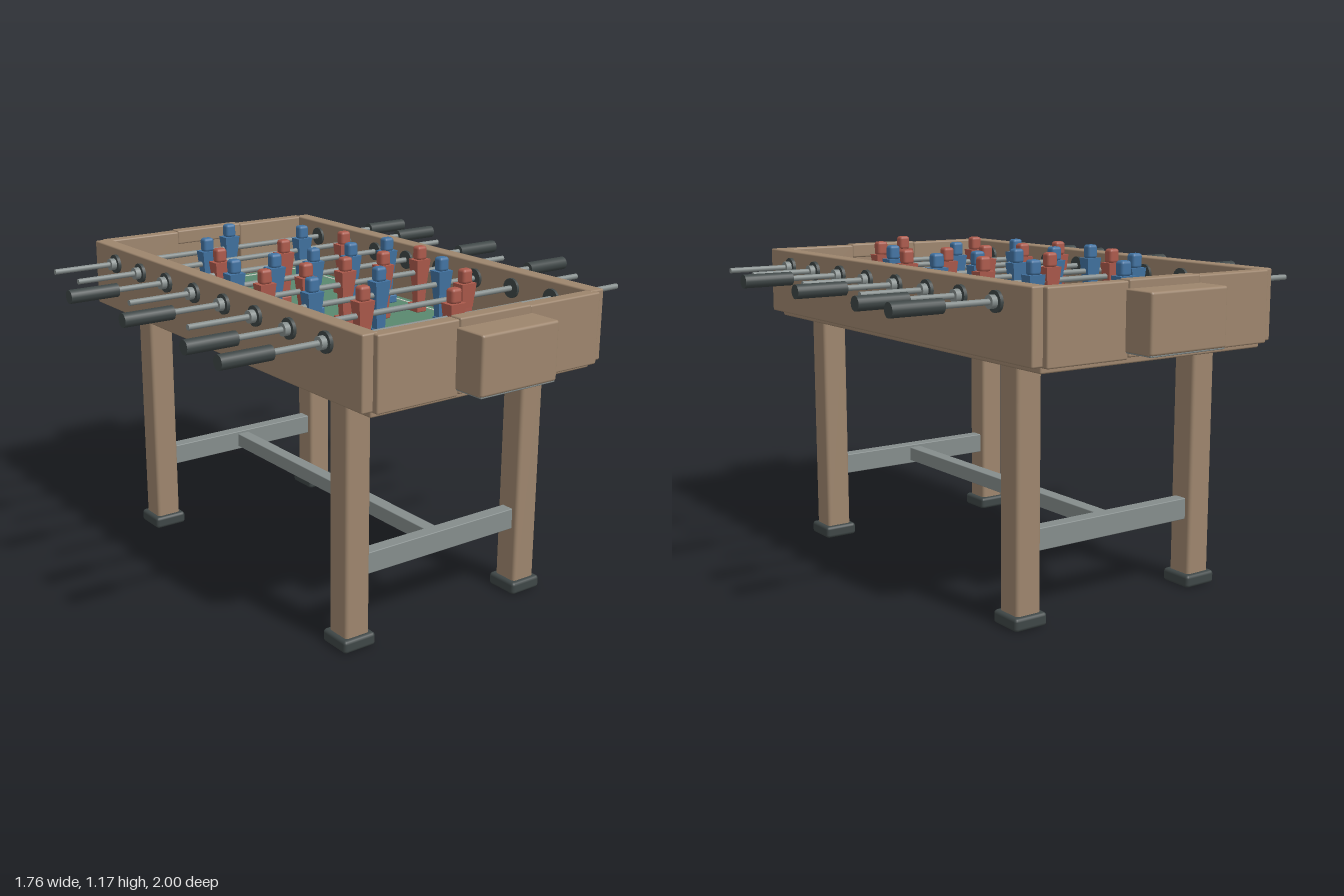
import * as THREE from 'three';
import { RoundedBoxGeometry } from 'three/addons/geometries/RoundedBoxGeometry.js';

const paint = (color) => new THREE.MeshStandardMaterial({ color });
const wood = paint(0x9d856d);
const turf = paint(0x5a886f);
const chalk = paint(0xc9d3c6);
const steel = paint(0x858d8c);
const rubber = paint(0x3e4646);
const blue = paint(0x4273a2);
const red = paint(0xac5a4c);

function add(parent, name, geometry, material, x = 0, y = 0, z = 0) {
  const mesh = new THREE.Mesh(geometry, material);
  mesh.name = name;
  mesh.position.set(x, y, z);
  parent.add(mesh);
  return mesh;
}

// box given by its lower and upper limits, with softened edges
function block(parent, name, material, [x0, x1], [y0, y1], [z0, z1], bevel = 0.006) {
  const geometry = new RoundedBoxGeometry(x1 - x0, y1 - y0, z1 - z0, 2, bevel);
  return add(parent, name, geometry, material, (x0 + x1) / 2, (y0 + y1) / 2, (z0 + z1) / 2);
}

// cylinder lying along x from x0 to x1
function rodPart(parent, name, material, x0, x1, radius) {
  const geometry = new THREE.CylinderGeometry(radius, radius, x1 - x0, 20).rotateZ(-Math.PI / 2);
  return add(parent, name, geometry, material, (x0 + x1) / 2, 0, 0);
}

// box whose bottom is narrower than its top
function taper(w, h, d, bottom) {
  const geometry = new THREE.BoxGeometry(w, h, d);
  const p = geometry.attributes.position;
  for (let i = 0; i < p.count; i++) {
    if (p.getY(i) < 0) {
      p.setX(i, p.getX(i) * bottom);
      p.setZ(i, p.getZ(i) * bottom);
    }
  }
  geometry.computeVertexNormals();
  return geometry;
}

// playing figure, measured from the rod axis, facing +z
function createPlayer(material) {
  const player = new THREE.Group();
  player.name = 'player';
  add(player, 'head', new RoundedBoxGeometry(0.043, 0.052, 0.038, 2, 0.011), material, 0, 0.072, 0);
  add(player, 'torso', taper(0.064, 0.085, 0.05, 0.72), material, 0, 0.006, 0);
  add(player, 'legs', taper(0.045, 0.1, 0.034, 0.75), material, 0, -0.086, 0);
  add(player, 'foot', new RoundedBoxGeometry(0.044, 0.03, 0.06, 2, 0.004), material, 0, -0.134, 0.01);
  return player;
}

// rod with grip on its +x end, bearings on both walls, and players
function createRod(material, count, spacing) {
  const rod = new THREE.Group();
  rod.name = 'rodAssembly';
  rodPart(rod, 'rod', steel, -0.755, 0.72, 0.01);
  rodPart(rod, 'grip', rubber, 0.7, 0.882, 0.024);
  for (const side of [-1, 1]) {
    const bearing = new THREE.Group();
    bearing.name = 'bearing';
    rodPart(bearing, 'outerFlange', rubber, 0.498, 0.512, 0.035);
    rodPart(bearing, 'hub', steel, 0.51, 0.532, 0.022);
    rodPart(bearing, 'innerFlange', rubber, 0.43, 0.442, 0.035);
    bearing.rotation.y = side < 0 ? Math.PI : 0;
    rod.add(bearing);
  }
  for (let i = 0; i < count; i++) {
    const player = createPlayer(material);
    player.position.x = (i - (count - 1) / 2) * spacing;
    rod.add(player);
  }
  return rod;
}

// end wall on the +z side with a goal mouth and a hollow goal box behind it
function createEnd() {
  const end = new THREE.Group();
  end.name = 'endWall';
  for (const t of [-1, 1]) {
    block(end, 'endPanel', wood, [t * 0.303 - 0.157, t * 0.303 + 0.157], [0.885, 1.13], [0.833, 0.882]);
    block(end, 'goalCheek', wood, [t * 0.149 - 0.009, t * 0.149 + 0.009], [0.91, 1.105], [0.875, 0.992], 0.004);
  }
  block(end, 'goalLintel', wood, [-0.147, 0.147], [1.08, 1.134], [0.835, 0.886]);
  block(end, 'goalSill', wood, [-0.147, 0.147], [0.892, 0.925], [0.835, 0.886]);
  block(end, 'goalBack', wood, [-0.158, 0.158], [0.91, 1.106], [0.978, 1.0], 0.009);
  block(end, 'goalRoof', wood, [-0.158, 0.158], [1.086, 1.106], [0.875, 0.998], 0.007);
  block(end, 'goalFloor', steel, [-0.155, 0.155], [0.906, 0.922], [0.875, 0.996], 0.003);
  return end;
}

export function createModel() {
  const table = new THREE.Group();
  table.name = 'tableFootball';

  // cabinet
  block(table, 'base', wood, [-0.46, 0.46], [0.866, 0.9], [-0.85, 0.85]);
  for (const s of [-1, 1]) {
    block(table, 'sideWall', wood, [s * 0.47 - 0.03, s * 0.47 + 0.03], [0.888, 1.132], [-0.86, 0.86]);
    const end = createEnd();
    end.rotation.y = s < 0 ? Math.PI : 0;
    table.add(end);
  }

  // pitch and its markings
  add(table, 'pitch', new THREE.BoxGeometry(0.89, 0.022, 1.68), turf, 0, 0.907, 0);
  for (const s of [-1, 1]) {
    add(table, 'sideLine', new THREE.BoxGeometry(0.008, 0.003, 1.6), chalk, s * 0.408, 0.919, 0);
    add(table, 'goalLine', new THREE.BoxGeometry(0.82, 0.003, 0.008), chalk, 0, 0.919, s * 0.798);
  }
  add(table, 'halfwayLine', new THREE.BoxGeometry(0.82, 0.003, 0.006), chalk, 0, 0.919, 0);

  // legs, feet and stretchers
  for (const z of [-0.633, 0.633]) {
    for (const x of [-0.373, 0.373]) {
      block(table, 'leg', wood, [x - 0.048, x + 0.048], [0.03, 0.875], [z - 0.048, z + 0.048], 0.012);
      block(table, 'foot', rubber, [x - 0.064, x + 0.064], [0, 0.046], [z - 0.064, z + 0.064], 0.012);
    }
    block(table, 'crossRail', steel, [-0.335, 0.335], [0.244, 0.32], [z - 0.025, z + 0.025], 0.003);
  }
  block(table, 'longRail', steel, [-0.025, 0.025], [0.256, 0.31], [-0.62, 0.62], 0.003);

  // rods: the two teams mirror each other
  const rows = [[-0.683, 1, 0], [-0.488, 2, 0.435], [-0.098, 5, 0.17], [0.293, 3, 0.28]];
  for (const [z, count, spacing] of rows) {
    for (const team of [1, -1]) {
      const rod = createRod(team > 0 ? blue : red, count, spacing);
      rod.position.set(0, 1.072, z * team);
      rod.rotation.y = team > 0 ? 0 : Math.PI;
      table.add(rod);
    }
  }
  return table;
}
